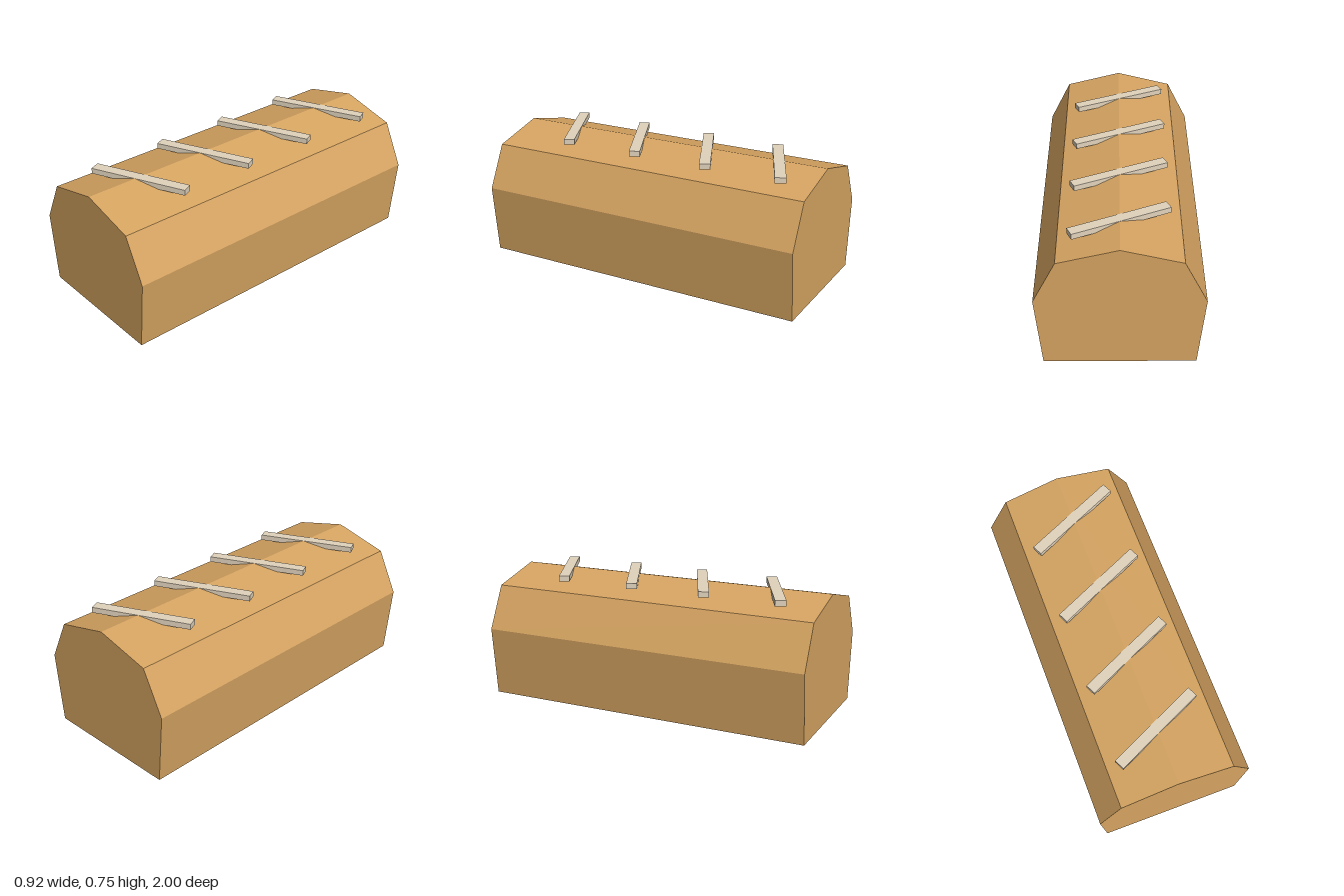
import * as THREE from 'three';

export function createModel() {
  const group = new THREE.Group();
  const crust = new THREE.MeshStandardMaterial({ color: 0xd6a461 });
  crust.name = 'golden crust';
  const pale = new THREE.MeshStandardMaterial({ color: 0xe2d4bd });
  pale.name = 'pale score';

  // Loaf: faceted cross-section extruded along z
  const half = [[0.417, 0], [0.458, 0.417], [0.333, 0.667]];
  const outline = [
    ...half,
    [0, 0.75],
    ...half.map(([x, y]) => [-x, y]).reverse(),
  ].map(([x, y]) => new THREE.Vector2(x, y));
  const loafGeometry = new THREE.ExtrudeGeometry(new THREE.Shape(outline), {
    depth: 2,
    bevelEnabled: false,
  });
  loafGeometry.translate(0, 0, -1);
  const loaf = new THREE.Mesh(loafGeometry, crust);
  loaf.name = 'loaf';
  group.add(loaf);

  // Diagonal score bars, sunk into the ridge
  const barGeometry = new THREE.BoxGeometry(0.585, 0.033, 0.063);
  for (let i = 0; i < 4; i++) {
    const bar = new THREE.Mesh(barGeometry, pale);
    bar.name = `scoreBar${i + 1}`;
    bar.position.set(0, 0.7338, -0.71 + i * 0.458);
    bar.rotation.y = THREE.MathUtils.degToRad(25);
    group.add(bar);
  }
  return group;
}
